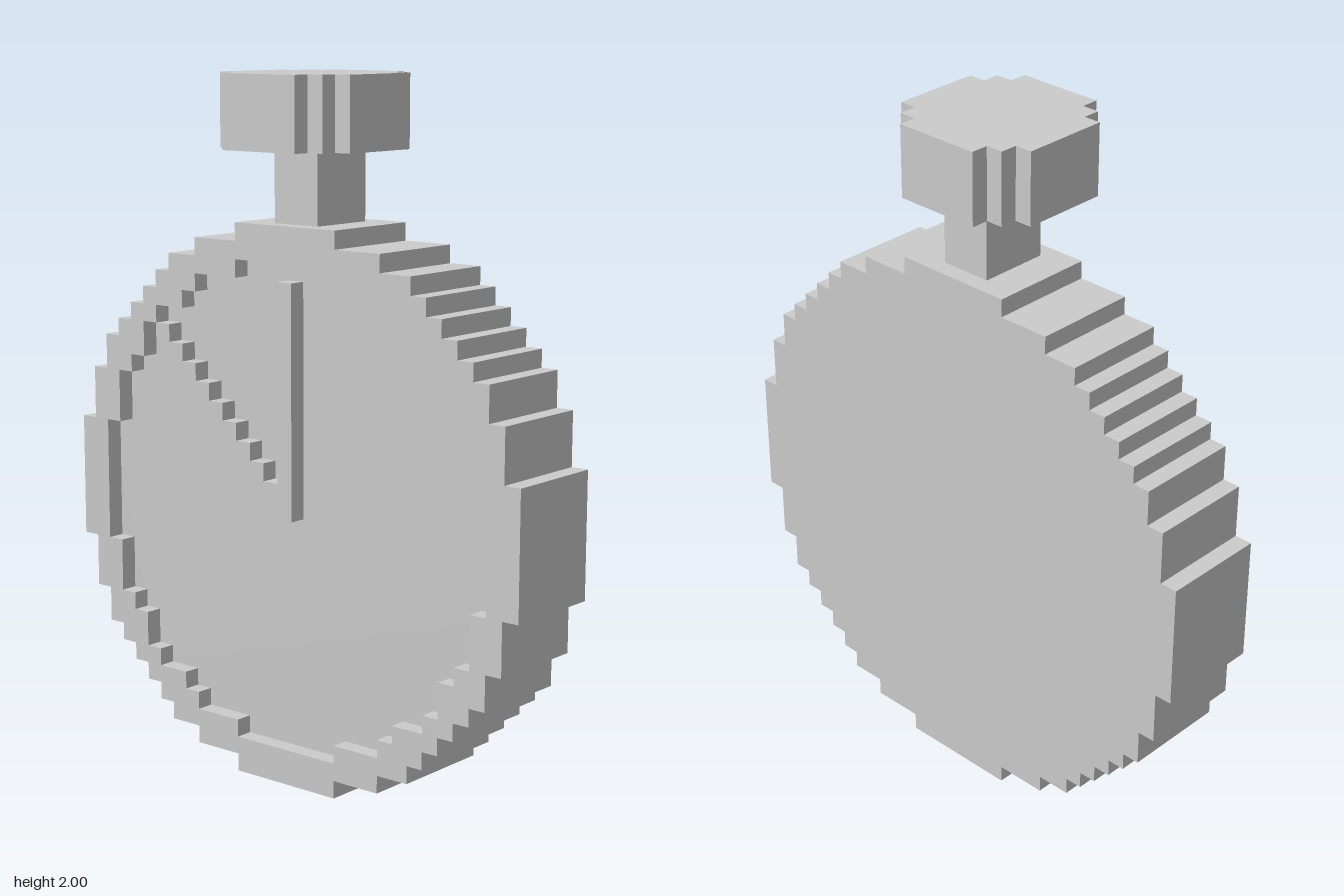
import * as THREE from 'three';

const U = 2 / 39; // edge of one block
const CENTER = 15.5 * U; // height of the dial centre

// Half-widths in blocks, row by row from the centre outwards (each row adds half a block)
const CASE_ROWS = [15, 15, 15, 15, 14, 14, 14, 13, 13, 12, 11, 10, 9, 8, 6, 3];
const DIAL_ROWS = [13, 13, 13, 13, 12, 12, 12, 11, 10, 10, 9, 7, 6, 3];
const KNOB_ROWS = [4, 4, 4, 3, 2];

// Closed stepped outline of a blocky disc, counter-clockwise
function steppedOutline(rows) {
  const quarter = [];
  rows.forEach((w, i) => {
    const x = (w + 0.5) * U;
    if (i > 0 && rows[i - 1] !== w) quarter.push([x, (i - 0.5) * U]);
    if (rows[i + 1] !== w) quarter.push([x, (i + 0.5) * U]);
  });
  const mirrored = (sx, sy) => quarter.map(([x, y]) => new THREE.Vector2(x * sx, y * sy));
  return [
    ...mirrored(1, 1),
    ...mirrored(-1, 1).reverse(),
    ...mirrored(-1, -1),
    ...mirrored(1, -1).reverse(),
  ];
}

function extrude(rows, blocks, holeRows) {
  const shape = new THREE.Shape(steppedOutline(rows));
  if (holeRows) shape.holes.push(new THREE.Path(steppedOutline(holeRows)));
  return new THREE.ExtrudeGeometry(shape, { depth: blocks * U, bevelEnabled: false });
}

export function createModel() {
  const model = new THREE.Group();
  model.name = 'stopwatch';
  const material = new THREE.MeshStandardMaterial({ color: 0xcccccc, flatShading: true });

  function add(name, geometry, x, y, z, parent = model) {
    const mesh = new THREE.Mesh(geometry, material);
    mesh.name = name;
    mesh.position.set(x, y, z);
    parent.add(mesh);
    return mesh;
  }
  const box = (w, h, d) => new THREE.BoxGeometry(w * U, h * U, d * U);

  // Case with a raised rim one block high around the dial
  add('caseBody', extrude(CASE_ROWS, 5), 0, CENTER, -3.5 * U);
  add('rim', extrude(CASE_ROWS, 1, DIAL_ROWS), 0, CENTER, 1.5 * U);

  // Upright hand, and a diagonal hand made of single blocks
  add('uprightHand', box(1, 13, 1), 0, CENTER + 6 * U, 2 * U);
  const diagonal = new THREE.Group();
  diagonal.name = 'diagonalHand';
  model.add(diagonal);
  for (let k = 1; k <= 9; k++) {
    add('handBlock', box(1, 1, 1), -k * U, CENTER + k * U, 2 * U, diagonal);
  }

  // Neck and push button on top
  add('neck', box(3, 4, 4), 0, 33 * U, -0.5 * U);
  const knob = extrude(KNOB_ROWS, 4).rotateX(-Math.PI / 2);
  add('pushButton', knob, 0, 35 * U, 0);

  return model;
}
